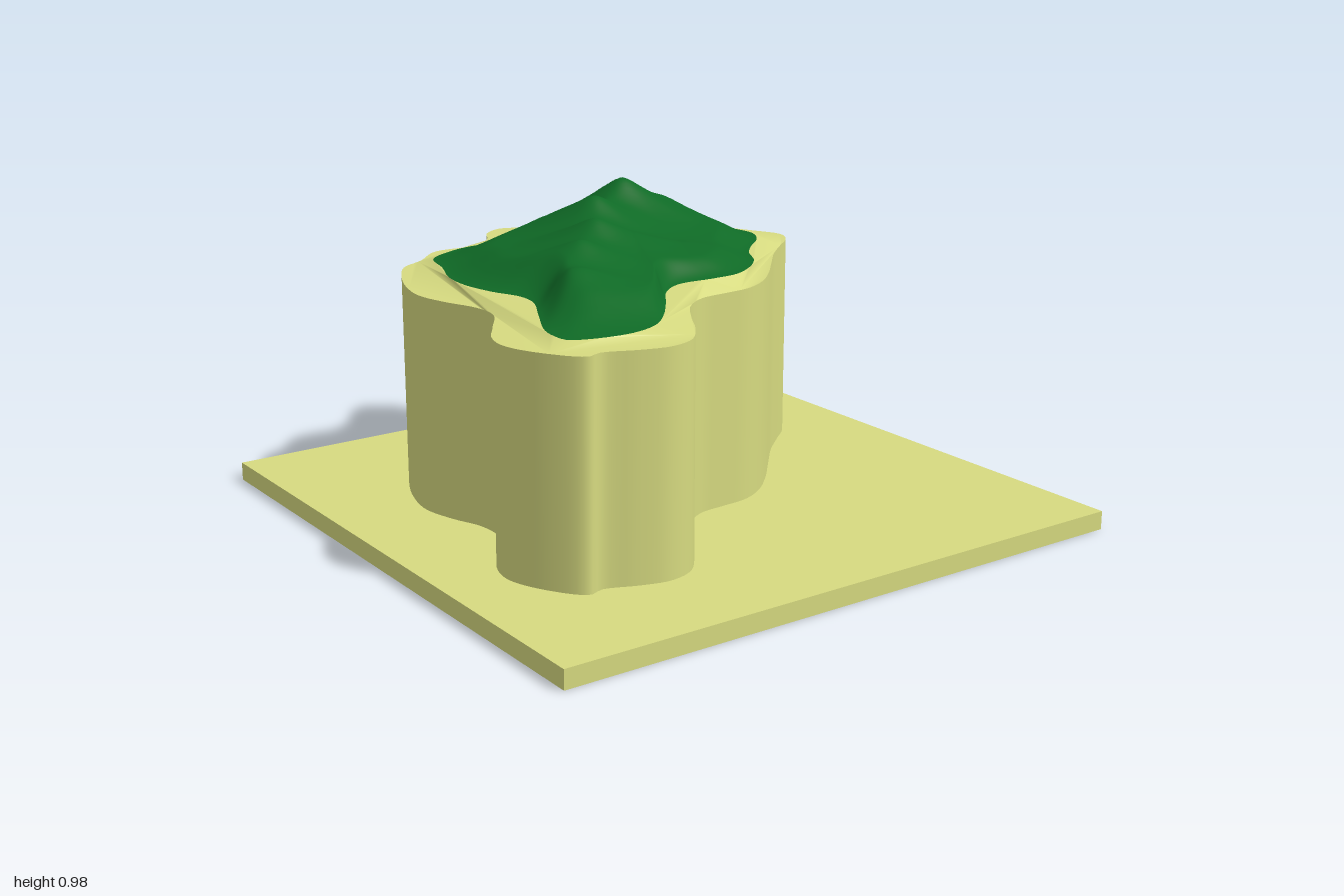
import * as THREE from 'three';

const cream = new THREE.MeshStandardMaterial({ color: 0xd6da80, side: THREE.DoubleSide });
const green = new THREE.MeshStandardMaterial({ color: 0x0f6a26, side: THREE.DoubleSide });

// Coastline of the column, as x, z pairs
const SHORE = [
  -0.31, -0.75, -0.24, -0.72, -0.16, -0.63, -0.08, -0.54, 0.03, -0.44, 0.14, -0.34,
  0.22, -0.25, 0.265, -0.16, 0.275, -0.06, 0.285, 0.03, 0.34, 0.115, 0.45, 0.195,
  0.565, 0.265, 0.655, 0.345, 0.68, 0.43, 0.66, 0.52, 0.62, 0.63, 0.635, 0.675,
  0.54, 0.755, 0.41, 0.805, 0.32, 0.79, 0.215, 0.725, 0.09, 0.65, -0.01, 0.65,
  -0.12, 0.69, -0.24, 0.715, -0.37, 0.69, -0.5, 0.635, -0.61, 0.565, -0.66, 0.48,
  -0.755, 0.37, -0.76, 0.22, -0.825, 0.13, -0.91, 0.08, -0.955, 0, -0.92, -0.07,
  -0.84, -0.13, -0.84, -0.195, -0.91, -0.245, -0.95, -0.3, -0.95, -0.355, -0.92, -0.42,
  -0.855, -0.495, -0.76, -0.6, -0.64, -0.63, -0.505, -0.665, -0.41, -0.71,
];

// Edge of the green land, as x, z pairs
const LAND = [
  -0.33, -0.625, -0.275, -0.61, -0.195, -0.555, -0.105, -0.46, -0.025, -0.39, 0.07, -0.335,
  0.15, -0.255, 0.205, -0.16, 0.215, -0.06, 0.215, 0.07, 0.265, 0.15, 0.365, 0.225,
  0.465, 0.305, 0.535, 0.385, 0.56, 0.5, 0.51, 0.66, 0.455, 0.67, 0.39, 0.66,
  0.245, 0.59, 0.12, 0.53, 0.04, 0.525, -0.065, 0.56, -0.195, 0.58, -0.32, 0.565,
  -0.45, 0.515, -0.59, 0.47, -0.65, 0.38, -0.68, 0.295, -0.69, 0.16, -0.755, 0.085,
  -0.82, 0, -0.805, -0.07, -0.745, -0.135, -0.725, -0.22, -0.78, -0.28, -0.855, -0.4,
  -0.785, -0.525, -0.62, -0.565, -0.45, -0.605,
];

// Ridge lines: x, z, height above the land edge
const RIDGES = [
  [[-0.55, -0.5, 0.08], [-0.5, -0.36, 0.14], [-0.48, -0.2, 0.21], [-0.41, -0.1, 0.16], [-0.35, 0, 0.195],
    [-0.23, 0.07, 0.14], [-0.15, 0.13, 0.165], [-0.08, 0.21, 0.12], [0, 0.28, 0.14], [0.1, 0.37, 0.095],
    [0.2, 0.42, 0.112], [0.3, 0.47, 0.07], [0.41, 0.52, 0.055], [0.48, 0.58, 0.02]],
  [[-0.35, 0, 0.19], [-0.58, 0.12, 0.08]],
  [[-0.48, -0.2, 0.2], [-0.68, -0.1, 0.06]],
  [[-0.48, -0.2, 0.2], [-0.7, -0.4, 0.05]],
  [[-0.48, -0.2, 0.2], [-0.25, -0.35, 0.08]],
  [[-0.15, 0.13, 0.16], [-0.04, -0.12, 0.08]],
  [[-0.15, 0.13, 0.16], [-0.35, 0.3, 0.06]],
  [[0, 0.28, 0.13], [0.14, 0.18, 0.06]],
];

function smoothLoop(flat, count) {
  const pts = [];
  for (let i = 0; i < flat.length; i += 2) pts.push(new THREE.Vector3(flat[i], 0, flat[i + 1]));
  return new THREE.CatmullRomCurve3(pts, true, 'centripetal').getSpacedPoints(count).slice(0, count);
}

// Gentle rise of the land edge toward the middle
const edgeY = (x, z) => 0.757 + 0.03 * Math.exp(-(x * x + z * z) / 0.6);

// Blend of slopes falling away from every ridge segment
function ridgeHeight(x, z) {
  const p = 10;
  let sum = 0;
  for (const line of RIDGES) {
    for (let i = 0; i < line.length - 1; i++) {
      const [ax, az, ah] = line[i], [bx, bz, bh] = line[i + 1];
      const dx = bx - ax, dz = bz - az;
      const t = THREE.MathUtils.clamp(((x - ax) * dx + (z - az) * dz) / (dx * dx + dz * dz), 0, 1);
      const d = Math.hypot(x - ax - t * dx, z - az - t * dz, 0.03) - 0.03;
      sum += Math.pow((ah + t * (bh - ah)) * Math.exp(-d / 0.26), p);
    }
  }
  return 0.9 * Math.pow(sum, 1 / p);
}

function build(points, index) {
  const g = new THREE.BufferGeometry().setFromPoints(points);
  g.setIndex(index);
  g.computeVertexNormals();
  return g;
}

// Closed rings joined in order
function loft(rings) {
  const n = rings[0].length, index = [];
  for (let j = 0; j < rings.length - 1; j++) {
    for (let i = 0; i < n; i++) {
      const k = (i + 1) % n;
      const a = j * n + i, b = j * n + k, c = a + n, d = b + n;
      index.push(a, c, b, b, c, d);
    }
  }
  return build(rings.flat(), index);
}

export function createModel() {
  const group = new THREE.Group();
  const add = (name, geometry, material) => {
    const mesh = new THREE.Mesh(geometry, material);
    mesh.name = name;
    group.add(mesh);
  };

  // Base plate: shallow tray, open underneath
  const plate = new THREE.BoxGeometry(2, 0.06, 2).translate(0, 0.03, 0);
  const faces = Array.from(plate.index.array);
  faces.splice(18, 6);
  plate.setIndex(faces);
  plate.clearGroups();
  add('basePlate', plate, cream);

  // Column wall, reaching a little below the plate top
  const shore = smoothLoop(SHORE, 220);
  const land = smoothLoop(LAND, 200);
  const ringAt = (y) => shore.map((p) => new THREE.Vector3(p.x, y, p.z));
  add('columnWall', loft([ringAt(0.045), ringAt(0.75)]), cream);

  // Beach: sloping band between coastline and land
  const flat = (loop) => loop.map((p) => new THREE.Vector2(p.x, p.z));
  const beachPoints = [...ringAt(0.75), ...land.map((p) => new THREE.Vector3(p.x, edgeY(p.x, p.z), p.z))];
  const beachIndex = [];
  for (const [a, b, c] of THREE.ShapeUtils.triangulateShape(flat(shore), [flat(land)])) {
    const A = beachPoints[a], B = beachPoints[b], C = beachPoints[c];
    const up = (B.z - A.z) * (C.x - A.x) - (B.x - A.x) * (C.z - A.z) > 0;
    beachIndex.push(a, ...(up ? [b, c] : [c, b]));
  }
  add('beach', build(beachPoints, beachIndex), cream);

  // Mountainous land: rings shrinking from its edge to the middle
  const rings = [], steps = 40, cx = -0.15, cz = 0;
  for (let j = 0; j <= steps; j++) {
    const t = Math.max(1 - j / steps, 0.002);
    const rise = THREE.MathUtils.smoothstep(1 - t, -0.04, 0.32) - THREE.MathUtils.smoothstep(0, -0.04, 0.32) * t;
    rings.push(land.map((p) => {
      const x = cx + (p.x - cx) * t, z = cz + (p.z - cz) * t;
      const h = j === 0 ? 0 : ridgeHeight(x, z) * Math.max(rise, 0);
      return new THREE.Vector3(x, edgeY(x, z) * t + 0.765 * (1 - t) + h, z);
    }));
  }
  add('mountainLand', loft(rings), green);

  return group;
}
